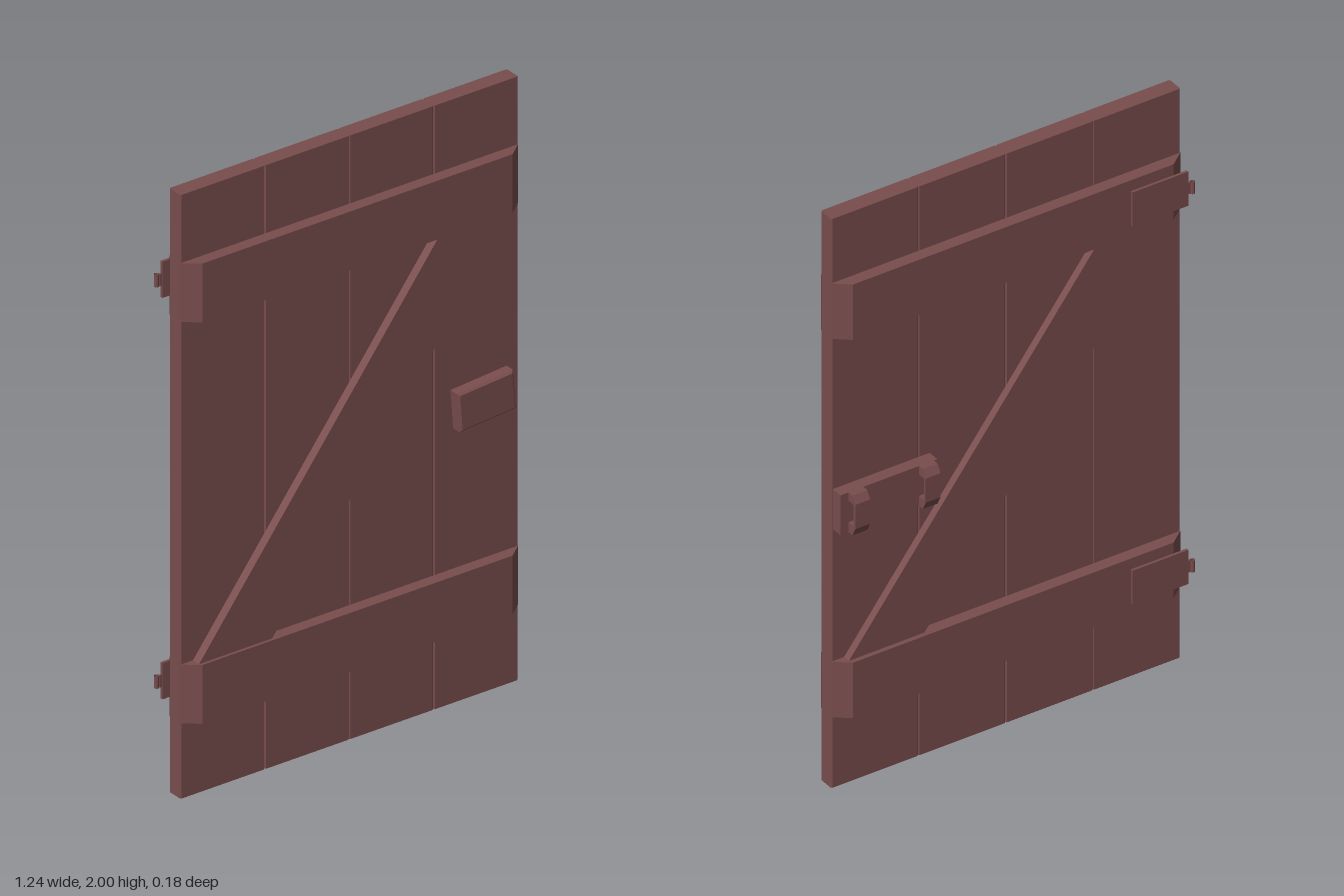
import * as THREE from 'three';

const material = new THREE.MeshStandardMaterial({ color: 0x7a4d4d, flatShading: true });
const MID = 0.0075; // middle of the planks in x
const FRONT = 0.04, BACK = -0.015; // plank faces in z

function outline(points) {
  return new THREE.Shape(points.map(([x, y]) => new THREE.Vector2(x, y)));
}

function extrude(shape, depth) {
  return new THREE.ExtrudeGeometry(shape, { depth, bevelEnabled: false });
}

// Upright prism from an [x, z] outline
function planPrism(points, y0, y1) {
  const g = extrude(outline(points.map(([x, z]) => [x, -z])), y1 - y0);
  return g.rotateX(-Math.PI / 2).translate(0, y0, 0);
}

function box(x0, x1, y0, y1, z0, z1) {
  return new THREE.BoxGeometry(x1 - x0, y1 - y0, z1 - z0)
    .translate((x0 + x1) / 2, (y0 + y1) / 2, (z0 + z1) / 2);
}

export function createModel() {
  const door = new THREE.Group();
  door.name = 'plankDoor';
  const add = (name, geometry, parent = door, mat = material) => {
    const mesh = new THREE.Mesh(geometry, mat);
    mesh.name = name;
    parent.add(mesh);
    return mesh;
  };

  // Four upright planks with V-grooves between them
  const width = 1.225 / 4, c = 0.004;
  for (let i = 0; i < 4; i++) {
    const a = -0.605 + i * width, b = a + width;
    add('plank', planPrism([
      [a + c, BACK], [b - c, BACK], [b, BACK + c], [b, FRONT - c],
      [b - c, FRONT], [a + c, FRONT], [a, FRONT - c], [a, BACK + c],
    ], 0, 2));
  }

  // Cross battens with sloped ends, on both faces
  for (const [y0, y1] of [[0.25, 0.445], [1.58, 1.775]]) {
    for (const [inner, outer, name] of [[FRONT, 0.08, 'frontBatten'], [BACK, -0.055, 'backBatten']]) {
      add(name, planPrism([
        [-0.605, inner], [0.62, inner], [0.57, outer], [-0.555, outer],
      ], y0, y1));
    }
  }

  // Diagonal braces, mirrored on the back
  const brace = [[-0.56, 0.445], [-0.295, 0.445], [0.575, 1.58], [0.31, 1.58]];
  add('frontBrace', extrude(outline(brace), 0.03).translate(0, 0, FRONT));
  add('backBrace', extrude(outline(brace.map(([x, y]) => [2 * MID - x, y])), 0.025)
    .translate(0, 0, BACK - 0.025));

  // Hinges: thin leaf, tongue and open knuckle
  const open = material.clone();
  open.side = THREE.DoubleSide;
  for (const y of [0.347, 1.677]) {
    const hinge = new THREE.Group();
    hinge.name = 'hinge';
    door.add(hinge);
    add('hingeLeaf', box(-0.6, -0.405, y - 0.06, y + 0.06, -0.064, -0.055), hinge);
    add('hingeTongue', box(-0.608, -0.6, y - 0.02, y + 0.02, -0.064, -0.058), hinge);
    add('hingeKnuckle', new THREE.CylinderGeometry(0.008, 0.008, 0.04, 10, 1, true)
      .translate(-0.615, y, -0.064), hinge, open);
  }

  // Tilted front latch block with a bevelled face
  const w = 0.095, h = 0.058, bevel = 0.007;
  const block = new THREE.ExtrudeGeometry(outline([[-w, -h], [w, -h], [w, h], [-w, h]]), {
    depth: 0.031, bevelSize: bevel, bevelThickness: bevel, bevelSegments: 1,
  });
  const latch = add('latchBlock', block);
  latch.position.set(0.476, 0.987, FRONT + bevel);
  latch.rotation.z = 0.076;

  // Back latch plate with two staples
  add('latchPlate', box(0.275, 0.615, 0.91, 1.05, -0.055, BACK));
  const profile = outline([
    [0.05, 0.91], [0.075, 0.91], [0.09, 0.94], [0.09, 1.025], [0.075, 1.05], [0.05, 1.05],
  ]);
  profile.holes.push(new THREE.Path([
    [0.055, 0.945], [0.055, 1.02], [0.08, 1.02], [0.08, 0.945],
  ].map(([x, y]) => new THREE.Vector2(x, y))));
  for (const x of [0.287, 0.534]) {
    add('latchStaple', extrude(profile, 0.052).rotateY(Math.PI / 2).translate(x, 0, 0));
  }
  return door;
}
